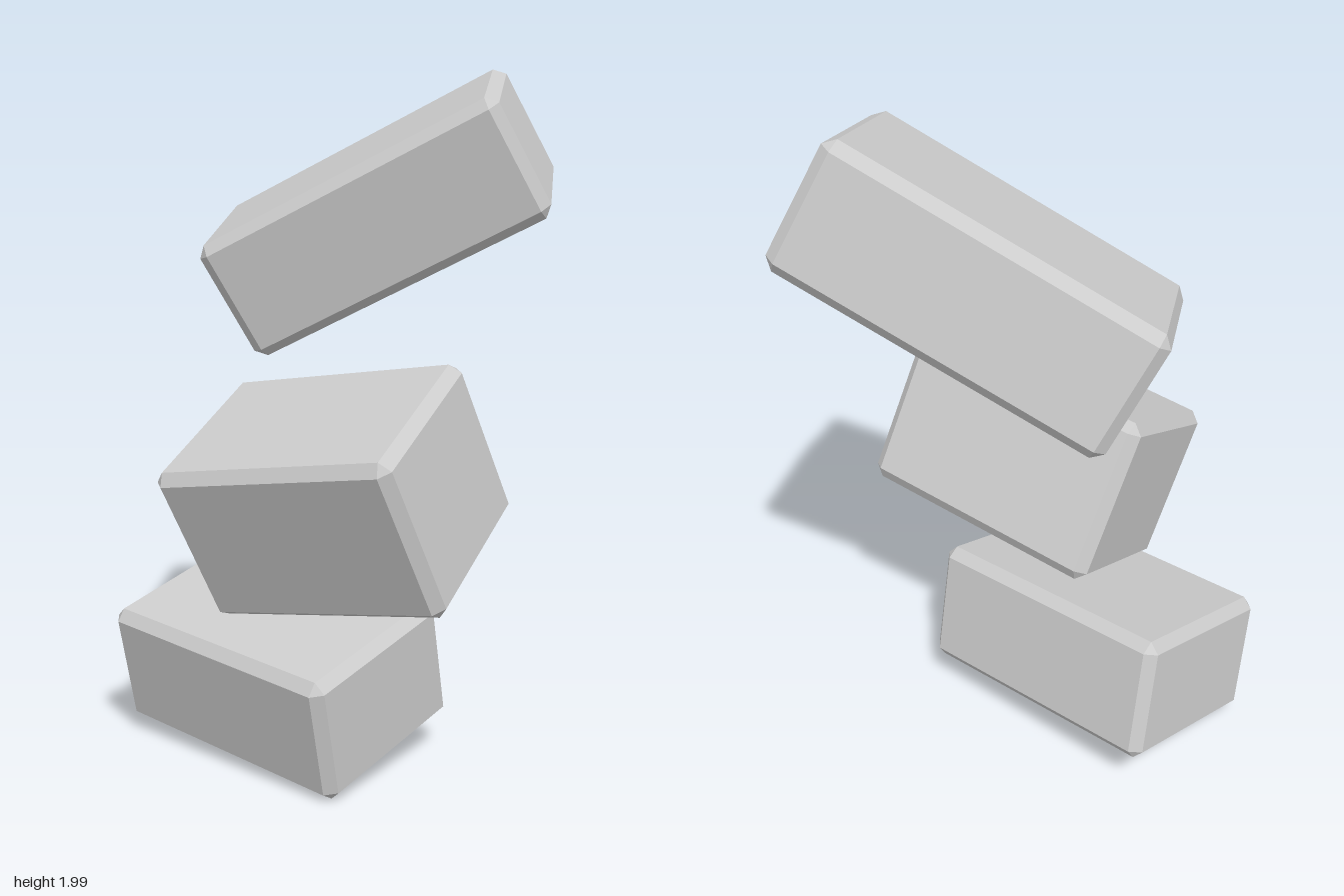
import * as THREE from 'three';
import { ConvexGeometry } from 'three/addons/geometries/ConvexGeometry.js';

const material = new THREE.MeshStandardMaterial({ color: 0xcccccc, flatShading: true });

// Box with a flat chamfer on every edge: each corner becomes three points
function chamferedBox(w, h, d, c) {
  const points = [];
  for (const x of [-w / 2, w / 2])
    for (const y of [-h / 2, h / 2])
      for (const z of [-d / 2, d / 2]) {
        const sx = Math.sign(x) * c, sy = Math.sign(y) * c, sz = Math.sign(z) * c;
        points.push(
          new THREE.Vector3(x, y - sy, z - sz),
          new THREE.Vector3(x - sx, y, z - sz),
          new THREE.Vector3(x - sx, y - sy, z)
        );
      }
  return new ConvexGeometry(points);
}

// Block turned so its length runs along "along" and its top faces "up"
function block(name, size, centre, along, up) {
  const mesh = new THREE.Mesh(chamferedBox(...size, 0.03), material);
  const xAxis = new THREE.Vector3(...along).normalize();
  const zAxis = new THREE.Vector3().crossVectors(xAxis, new THREE.Vector3(...up)).normalize();
  const yAxis = new THREE.Vector3().crossVectors(zAxis, xAxis);
  mesh.quaternion.setFromRotationMatrix(new THREE.Matrix4().makeBasis(xAxis, yAxis, zAxis));
  mesh.position.set(...centre);
  mesh.name = name;
  return mesh;
}

export function createModel() {
  const model = new THREE.Group();
  model.name = 'tumblingBlocks';
  model.add(
    block('bottomBlock', [0.83, 0.38, 0.54], [-0.14, 0.263, 0.035], [0.75, -0.04, 0.32], [-0.02, 0.355, 0.085]),
    block('middleBlock', [0.755, 0.495, 0.525], [0.077, 0.825, 0.165], [0.71, 0.12, 0.18], [-0.12, 0.43, 0.17]),
    block('topBlock', [0.965, 0.375, 0.52], [0.079, 1.582, -0.263], [0.84, 0.43, -0.05], [-0.16, 0.31, 0.09])
  );
  return model;
}
